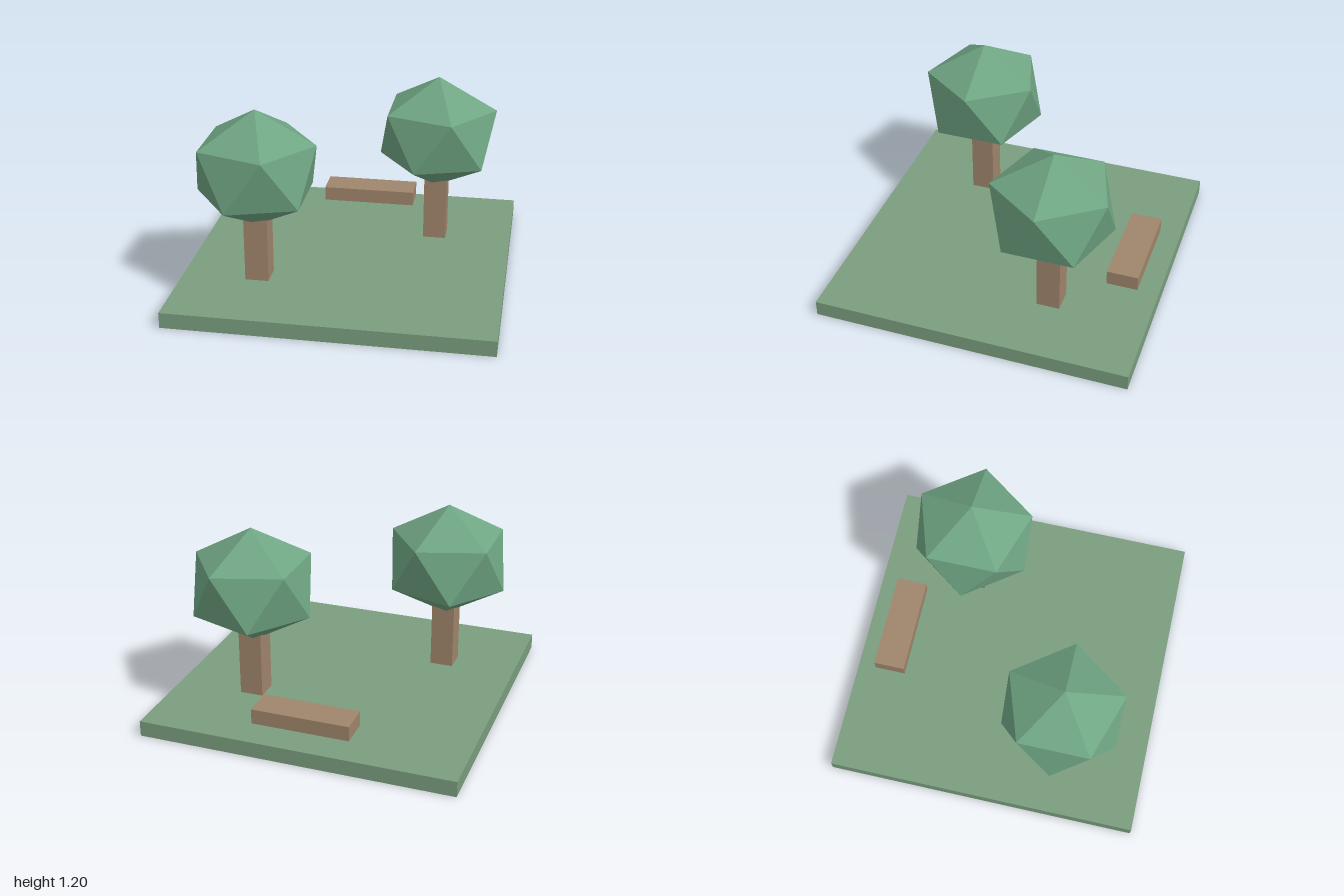
import * as THREE from 'three';

const grass = new THREE.MeshStandardMaterial({ color: 0x7a9e7e, flatShading: true });
const leaves = new THREE.MeshStandardMaterial({ color: 0x6fa583, flatShading: true });
const wood = new THREE.MeshStandardMaterial({ color: 0xa0856b, flatShading: true });

function part(name, geometry, material, x, y, z) {
  const mesh = new THREE.Mesh(geometry, material);
  mesh.name = name;
  mesh.position.set(x, y, z);
  return mesh;
}

// Square trunk under a slightly flattened icosahedron standing on one corner
function makeTree(name, x, z) {
  const tree = new THREE.Group();
  tree.name = name;
  tree.position.set(x, 0, z);
  const crown = new THREE.IcosahedronGeometry(0.42, 0);
  crown.rotateZ(-Math.atan(2 / (1 + Math.sqrt(5))));
  crown.scale(1, 0.89, 1);
  tree.add(
    part('trunk', new THREE.BoxGeometry(0.148, 0.45, 0.148), wood, 0, 0.325, 0),
    part('foliage', crown, leaves, 0, 0.828, 0),
  );
  return tree;
}

export function createModel() {
  const model = new THREE.Group();
  model.name = 'parkTile';
  // Ground slab
  model.add(part('ground', new THREE.BoxGeometry(2, 0.1, 2), grass, 0, 0.05, 0));
  // Trees
  model.add(makeTree('frontTree', -0.523, 0.423), makeTree('backTree', 0.5, -0.375));
  // Floating bench plank at the back
  model.add(part('bench', new THREE.BoxGeometry(0.62, 0.095, 0.2), wood, 0, 0.201, -0.775));
  return model;
}
